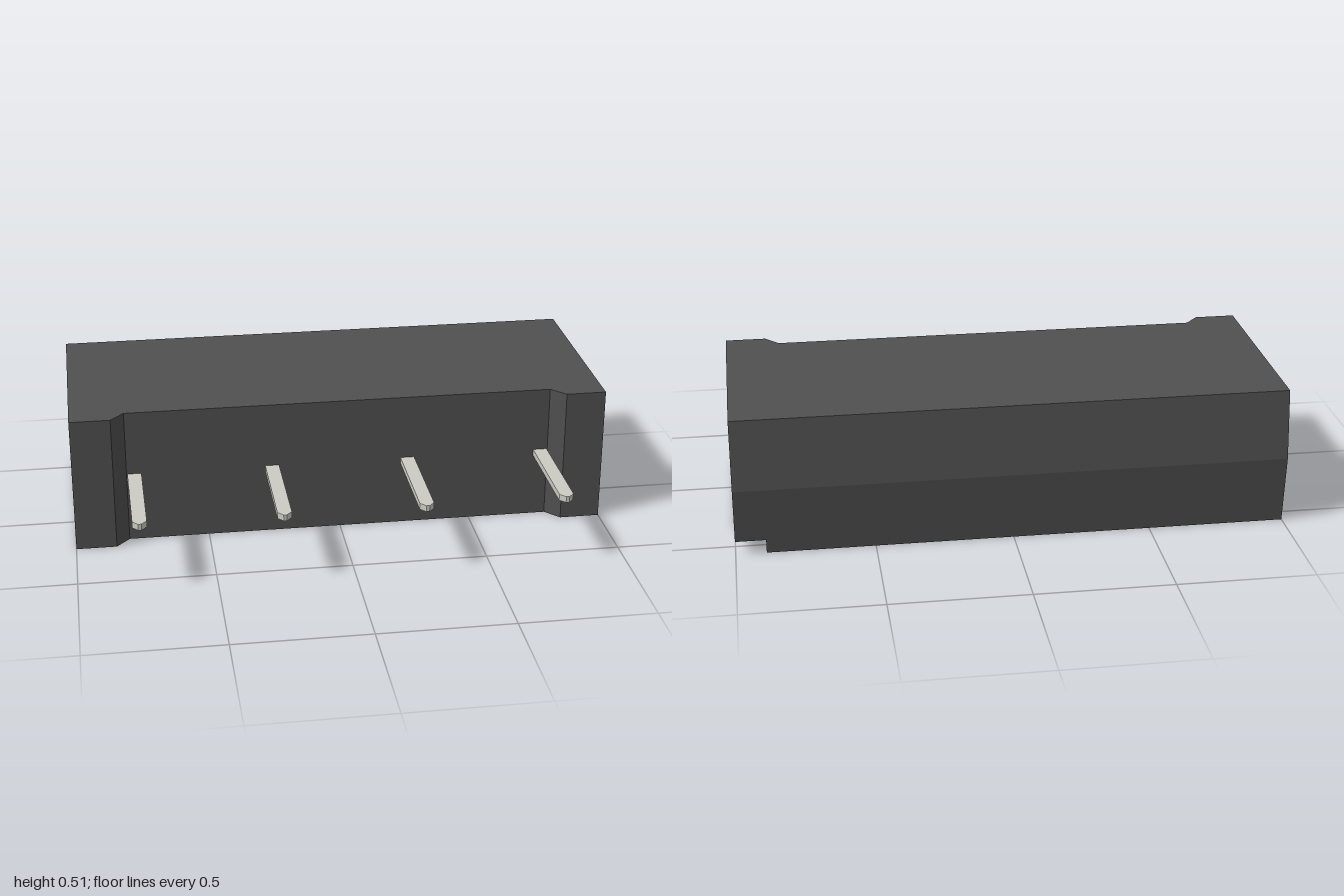
import * as THREE from 'three';
import { mergeGeometries } from 'three/addons/utils/BufferGeometryUtils.js';

const H = 0.515, MID = H / 2;
const NOTCH_X = 0.89, NOTCH_Z = -0.368, NOTCH_H = 0.053;

// The back face bulges to a ridge at mid height
const backZ = y => -0.59 + 0.027 * Math.abs(y - MID) / MID;

// Plan outline [x, z] at height y, with the recessed front between two chamfered feet
function outline(y, notched) {
  const b = backZ(y);
  const ring = [
    [-1, b], [-1, 0.228], [-0.85, 0.228], [-0.8, 0.172],
    [0.8, 0.172], [0.85, 0.228], [1, 0.228],
  ];
  if (notched) ring.push([1, NOTCH_Z], [NOTCH_X, NOTCH_Z], [NOTCH_X, b]);
  else ring.push([1, b]);
  return ring;
}

// Flat horizontal face at height y, facing up or down
function cap(ring, y, up) {
  const shape = new THREE.Shape(ring.map(([x, z]) => new THREE.Vector2(x, -z)));
  const geo = new THREE.ShapeGeometry(shape).rotateX(-Math.PI / 2).translate(0, y, 0);
  if (!up) geo.setIndex(Array.from(geo.index.array).reverse());
  const flat = geo.toNonIndexed();
  flat.deleteAttribute('uv');
  flat.computeVertexNormals();
  return flat;
}

// Side walls between two heights
function walls(y0, y1, notched) {
  const lo = outline(y0, notched), hi = outline(y1, notched);
  const pos = [];
  lo.forEach(([ax, az], i) => {
    const j = (i + 1) % lo.length;
    const a = [ax, y0, az], b = [lo[j][0], y0, lo[j][1]];
    const c = [hi[j][0], y1, hi[j][1]], d = [hi[i][0], y1, hi[i][1]];
    pos.push(...a, ...b, ...c, ...a, ...c, ...d);
  });
  const geo = new THREE.BufferGeometry();
  geo.setAttribute('position', new THREE.Float32BufferAttribute(pos, 3));
  geo.computeVertexNormals();
  return geo;
}

export function createModel() {
  const model = new THREE.Group();
  model.name = 'pinHeaderBlock';
  const bodyMat = new THREE.MeshStandardMaterial({ color: 0x505050 });
  const pinMat = new THREE.MeshStandardMaterial({ color: 0xccccc4 });

  // Housing, with a small key notch at the lower back left corner
  const b = backZ(NOTCH_H);
  const notchRoof = [[NOTCH_X, b], [NOTCH_X, NOTCH_Z], [1, NOTCH_Z], [1, b]];
  const housing = new THREE.Mesh(mergeGeometries([
    cap(outline(0, true), 0, false),
    walls(0, NOTCH_H, true),
    cap(notchRoof, NOTCH_H, false),
    walls(NOTCH_H, MID, false),
    walls(MID, H, false),
    cap(outline(H, false), H, true),
  ]), bodyMat);
  housing.name = 'housing';
  model.add(housing);

  // Flat pins with chamfered tips
  const w = 0.026, tip = 0.006, t = 0.024;
  const pinShape = new THREE.Shape([
    [-w, -0.172], [-w, -0.567], [-tip, -0.59], [tip, -0.59], [w, -0.567], [w, -0.172],
  ].map(p => new THREE.Vector2(...p)));
  const pinGeo = new THREE.ExtrudeGeometry(pinShape, { depth: t, bevelEnabled: false })
    .rotateX(-Math.PI / 2).translate(0, MID - t / 2, 0);
  for (let i = 0; i < 4; i++) {
    const pin = new THREE.Mesh(pinGeo, pinMat);
    pin.name = `pin${i + 1}`;
    pin.position.x = (i - 1.5) * 0.514;
    model.add(pin);
  }
  return model;
}
